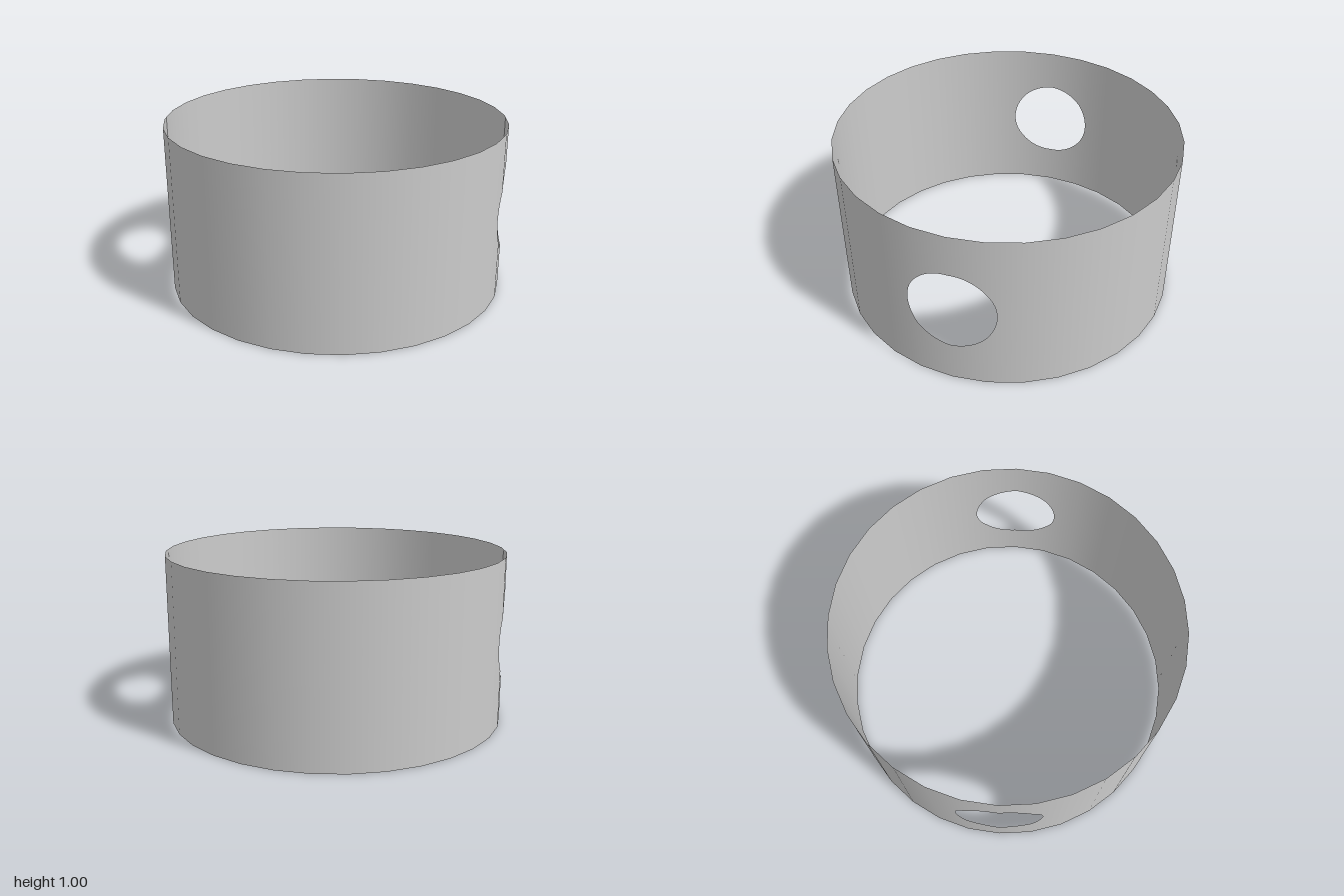
import * as THREE from 'three';

const SIDES = 32, RADIUS = 1, HEIGHT = 1, HOLE = 0.25;

// Points around the 32-sided ring, with extra ones where the holes need a finer outline
function ringPoints() {
  const holeZ = [];
  for (let i = 0; i <= 32; i++) holeZ.push(-HOLE * Math.cos((i / 32) * Math.PI));
  const corner = (i) => {
    const a = (i / SIDES) * Math.PI * 2;
    return new THREE.Vector2(Math.cos(a) * RADIUS, Math.sin(a) * RADIUS); // (x, z)
  };
  const points = [];
  for (let i = 0; i < SIDES; i++) {
    const a = corner(i), b = corner(i + 1);
    const cuts = holeZ.map((z) => (z - a.y) / (b.y - a.y))
      .filter((t) => t > 1e-4 && t < 1 - 1e-4).sort((s, t) => s - t);
    points.push(a, ...cuts.map((t) => a.clone().lerp(b, t)));
  }
  points.push(corner(0));
  return points;
}

// Thin wall: each column has a strip below and a strip above the hole outline
function wallGeometry() {
  const position = [], normal = [], index = [];
  ringPoints().forEach((p, i) => {
    const half = Math.sqrt(Math.max(0, HOLE * HOLE - p.y * p.y));
    const n = p.clone().normalize();
    for (const y of [0, HEIGHT / 2 - half, HEIGHT / 2 + half, HEIGHT]) {
      position.push(p.x, y, p.y);
      normal.push(n.x, 0, n.y);
    }
    if (i === 0) return;
    for (const row of [0, 2]) {
      const a = (i - 1) * 4 + row, b = i * 4 + row;
      index.push(a, a + 1, b, b, a + 1, b + 1);
    }
  });
  // The hole only pierces the two x sides; the z sides never come near z = 0
  const geometry = new THREE.BufferGeometry();
  geometry.setAttribute('position', new THREE.Float32BufferAttribute(position, 3));
  geometry.setAttribute('normal', new THREE.Float32BufferAttribute(normal, 3));
  geometry.setIndex(index);
  return geometry;
}

export function createModel() {
  const group = new THREE.Group();
  group.name = 'piercedRing';
  const material = new THREE.MeshStandardMaterial({ color: 0xcccccc, side: THREE.DoubleSide });
  const wall = new THREE.Mesh(wallGeometry(), material);
  wall.name = 'ringWall';
  group.add(wall);
  return group;
}
